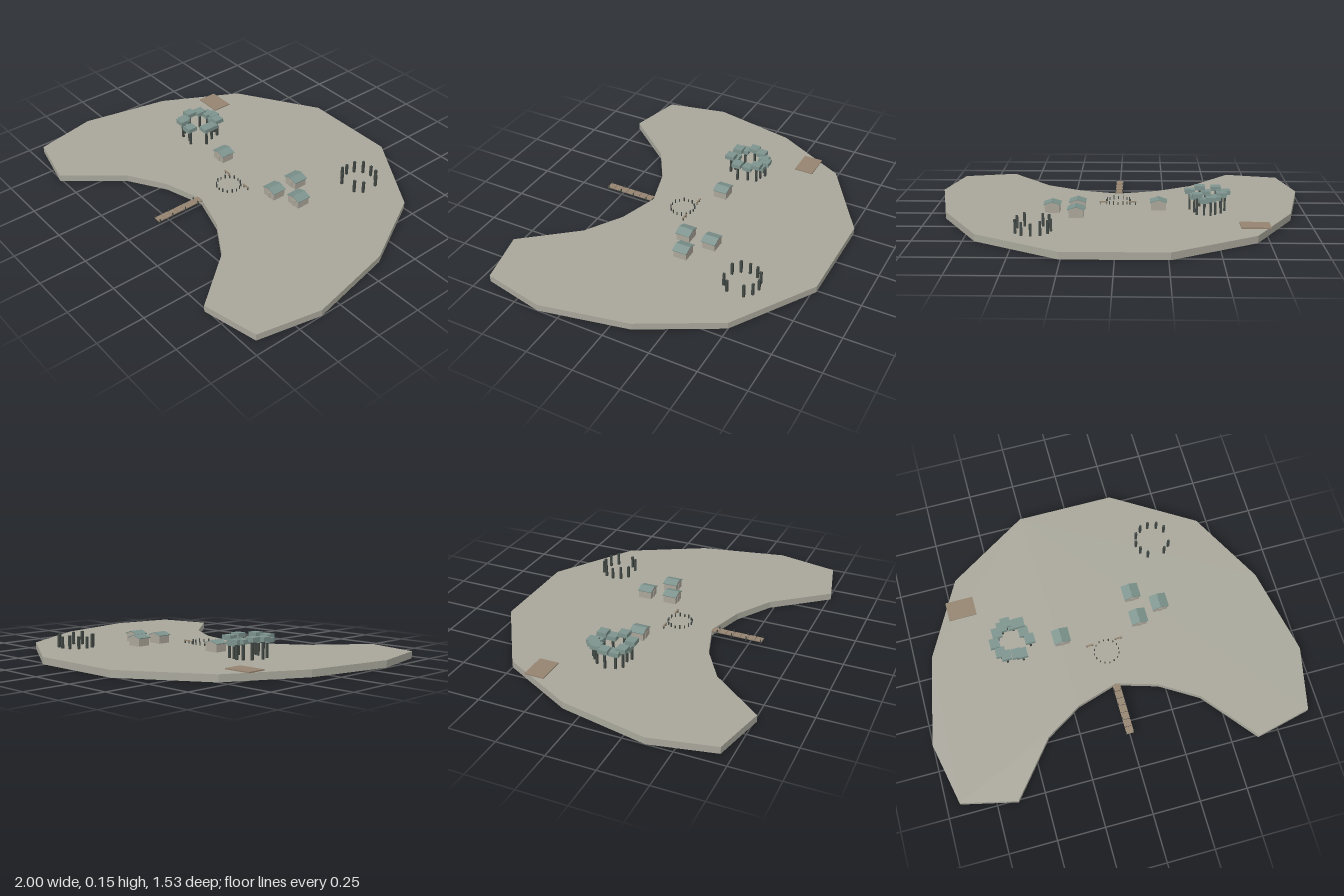
import * as THREE from 'three';

const mat = (name, color) => Object.assign(new THREE.MeshStandardMaterial({ color, flatShading: true }), { name });

export function createModel() {
  const model = new THREE.Group();
  model.name = 'islandVillage';
  const ground = mat('ground', 0xa9a79b);
  const wall = mat('wall', 0xaba69a);
  const teal = mat('teal', 0x7d938d);
  const wood = mat('wood', 0x94836f);
  const dark = mat('darkWood', 0x414844);
  const TOP = 0.037;

  const group = (name, parent = model) => {
    const g = new THREE.Group();
    g.name = name;
    parent.add(g);
    return g;
  };
  const add = (parent, name, geo, material, x = 0, y = 0, z = 0) => {
    const m = new THREE.Mesh(geo, material);
    m.name = name;
    m.position.set(x, y, z);
    parent.add(m);
    return m;
  };
  const box = (parent, name, material, w, h, d, x, y, z) =>
    add(parent, name, new THREE.BoxGeometry(w, h, d), material, x, y, z);

  // Crescent island: half outline as [x, z], mirrored
  const half = [[0.26, -0.77], [0.69, -0.5], [0.905, -0.1], [1, 0.365], [0.93, 0.695],
    [0.64, 0.762], [0.41, 0.48], [0.215, 0.36]];
  const outline = [...half, [0, 0.295], ...half.slice().reverse().map(([x, z]) => [-x, z])];
  const shape = new THREE.Shape(outline.map(([x, z]) => new THREE.Vector2(x, -z)));
  const land = new THREE.ExtrudeGeometry(shape, { depth: TOP, bevelEnabled: false });
  land.rotateX(-Math.PI / 2);
  add(model, 'island', land, ground);

  // Flat platform at the back left edge
  box(model, 'platform', wood, 0.15, 0.006, 0.105, -0.695, TOP + 0.003, -0.33);

  // Huts with gabled walls, two roof slabs and a door
  const gable = new THREE.Shape([[-0.039, 0], [0.039, 0], [0.039, 0.043], [0, 0.056], [-0.039, 0.043]]
    .map(([x, y]) => new THREE.Vector2(x, y)));
  const gableGeo = new THREE.ExtrudeGeometry(gable, { depth: 0.072, bevelEnabled: false });
  gableGeo.translate(0, 0, -0.036);
  const pitch = Math.atan2(0.015, 0.045);
  for (const [x, z] of [[-0.215, -0.022], [0.212, -0.17], [0.342, -0.075], [0.212, -0.022]]) {
    const hut = group('hut');
    hut.position.set(x, TOP, z);
    add(hut, 'walls', gableGeo, wall);
    for (const s of [-1, 1]) {
      const slab = box(hut, 'roof', teal, 0.0474, 0.004, 0.08, s * 0.0225, 0.0505, 0);
      slab.rotation.z = -s * pitch;
    }
    box(hut, 'door', wall, 0.018, 0.034, 0.004, 0, 0.017, 0.037);
  }

  // Grove: ring of slim trunks with box crowns, [x, z, crown centre height]
  const trees = [[-0.483, -0.153, 0.128], [-0.54, -0.104, 0.14], [-0.563, -0.05, 0.14],
    [-0.545, 0.0, 0.128], [-0.52, 0.028, 0.141], [-0.466, 0.024, 0.118], [-0.436, 0.038, 0.142],
    [-0.38, -0.03, 0.14], [-0.402, -0.083, 0.123], [-0.413, -0.13, 0.141],
    [-0.45, -0.138, 0.116], [-0.508, -0.134, 0.13]];
  const grove = group('grove');
  for (const [x, z, y] of trees) {
    box(grove, 'trunk', dark, 0.011, y - TOP, 0.011, x, (y + TOP) / 2, z);
    box(grove, 'crown', teal, 0.052, 0.023, 0.052, x, y, z);
  }

  // Ring of tall standing posts with two gaps
  const circle = group('postCircle');
  for (let i = 0; i < 12; i++) {
    if (i === 3 || i === 6) continue;
    const a = i * Math.PI / 6, h = 0.062 + 0.005 * (i % 3);
    box(circle, 'post', dark, 0.012, h, 0.012,
      0.412 + 0.092 * Math.sin(a), TOP + h / 2, -0.44 - 0.09 * Math.cos(a));
  }

  // Small meeting ring of stakes with two benches
  const ring = group('meetingRing');
  for (let i = 0; i < 16; i++) {
    const a = i * Math.PI / 8, h = i % 2 ? 0.022 : 0.016;
    box(ring, 'stake', dark, 0.005, h, 0.005,
      0.066 * Math.sin(a), TOP + h / 2, 0.113 - 0.064 * Math.cos(a));
  }
  for (const s of [-1, 1]) {
    box(ring, 'bench', wood, 0.042, 0.006, 0.008, s * 0.079, 0.053, 0.06);
    for (const o of [-0.015, 0.015])
      box(ring, 'benchLeg', dark, 0.004, 0.014, 0.005, s * 0.079 + o, TOP + 0.007, 0.06);
  }

  // Jetty: planks on a pair of beams, with posts down both sides
  const jetty = group('jetty');
  for (let i = 0; i < 7; i++) {
    const z = 0.319 + i * 0.0395;
    box(jetty, 'plank', wood, 0.04, 0.005, 0.037, 0, 0.0385, z);
    for (const s of [-1, 1])
      if (i % 2 === 0) box(jetty, 'jettyPost', dark, 0.005, 0.026, 0.005, s * 0.019, 0.038, z + 0.012);
  }
  for (const s of [-1, 1]) box(jetty, 'beam', dark, 0.004, 0.004, 0.27, s * 0.014, 0.034, 0.437);

  return model;
}
